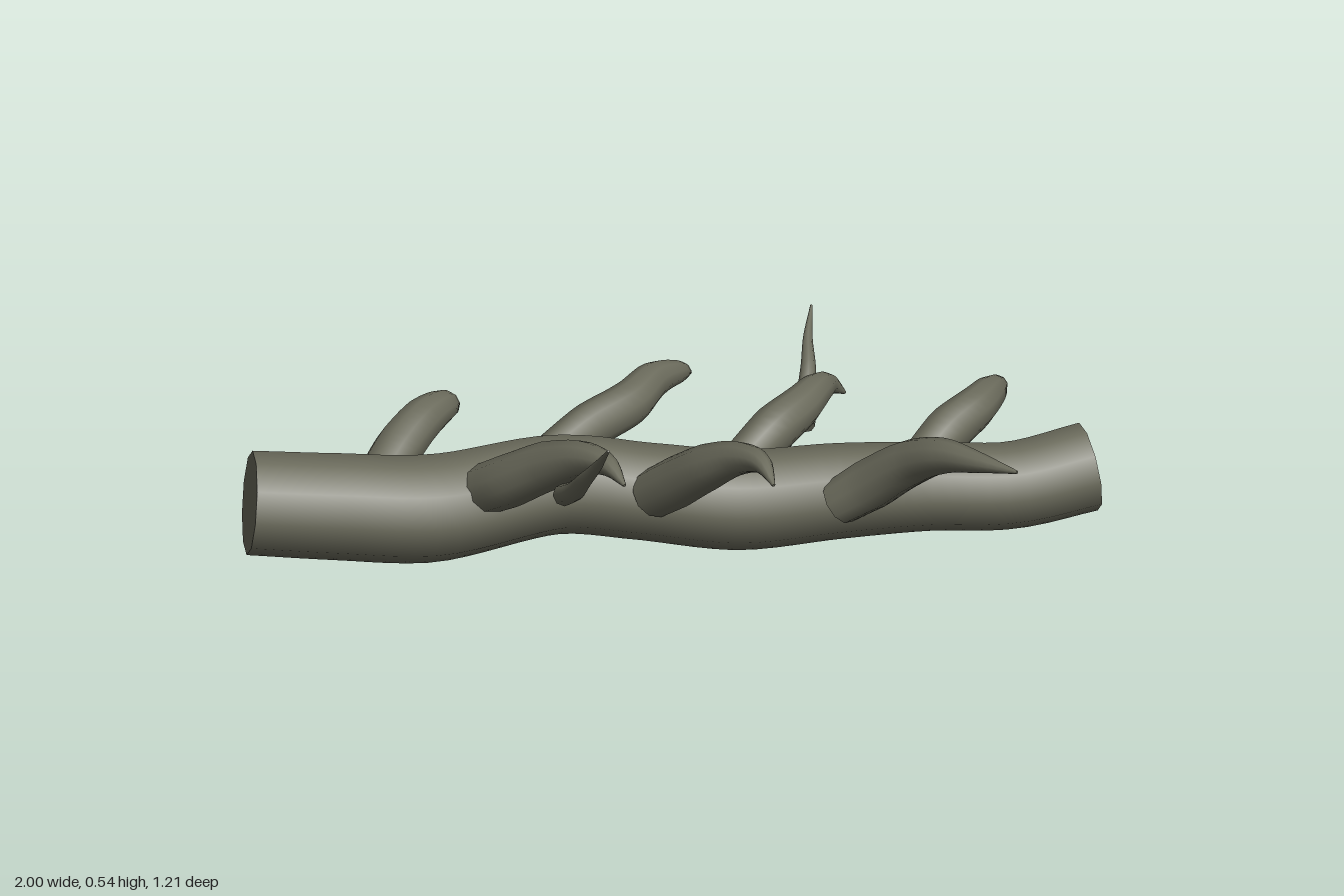
import * as THREE from 'three';
import { mergeGeometries } from 'three/addons/utils/BufferGeometryUtils.js';

// Flat disc closing one end of a limb, built from a ring of points
function capGeometry(ring, flip) {
  const centre = ring.reduce((s, p) => s.add(p), new THREE.Vector3()).divideScalar(ring.length);
  const points = [];
  ring.forEach((p, j) => {
    const next = ring[(j + 1) % ring.length];
    points.push(centre, ...(flip ? [next, p] : [p, next]));
  });
  const geo = new THREE.BufferGeometry().setFromPoints(points);
  geo.setAttribute('uv', new THREE.Float32BufferAttribute(new Float32Array(points.length * 2), 2));
  geo.computeVertexNormals();
  return geo;
}

// Tapered, capped tube through points given as [x, y, z, radius]
function limbGeometry(points, segments, sides) {
  const curve = new THREE.CatmullRomCurve3(points.map(p => new THREE.Vector3(p[0], p[1], p[2])));
  const tube = new THREE.TubeGeometry(curve, segments, 1, sides, false);
  const pos = tube.attributes.position;
  const v = new THREE.Vector3();
  const rings = [];
  for (let i = 0; i <= segments; i++) {
    const t = curve.getUtoTmapping(i / segments) * (points.length - 1);
    const k = Math.min(Math.floor(t), points.length - 2);
    const radius = THREE.MathUtils.lerp(points[k][3], points[k + 1][3], t - k);
    const centre = curve.getPointAt(i / segments);
    const ring = [];
    for (let j = 0; j <= sides; j++) {
      const n = i * (sides + 1) + j;
      v.fromBufferAttribute(pos, n).sub(centre).multiplyScalar(radius).add(centre);
      pos.setXYZ(n, v.x, v.y, v.z);
      if (j < sides) ring.push(v.clone());
    }
    rings.push(ring);
  }
  return mergeGeometries([
    tube.toNonIndexed(),
    capGeometry(rings[0], false),
    capGeometry(rings[segments], true),
  ]);
}

export function createModel() {
  const group = new THREE.Group();
  const bark = new THREE.MeshStandardMaterial({ color: 0x6b6b5c });
  bark.name = 'bark';

  function add(name, points, segments, sides) {
    const mesh = new THREE.Mesh(limbGeometry(points, segments, sides), bark);
    mesh.name = name;
    group.add(mesh);
  }

  // Wavy main trunk
  add('trunk', [
    [-0.985, 0.21, 0.04, 0.122], [-0.78, 0.19, 0.045, 0.125], [-0.56, 0.17, 0.04, 0.127],
    [-0.25, 0.178, -0.035, 0.116], [-0.05, 0.148, -0.035, 0.114], [0.17, 0.122, -0.015, 0.118],
    [0.4, 0.137, 0, 0.112], [0.6, 0.15, 0.03, 0.104], [0.8, 0.147, 0.044, 0.102],
    [0.985, 0.17, 0.015, 0.105],
  ], 48, 10);

  // Branches rising to the front
  add('frontBranchRight', [
    [-0.44, 0.23, 0.08, 0.06], [-0.39, 0.28, 0.15, 0.063], [-0.31, 0.35, 0.23, 0.058],
    [-0.24, 0.4, 0.31, 0.042], [-0.19, 0.41, 0.38, 0.026], [-0.16, 0.385, 0.44, 0.004],
  ], 24, 10);
  add('frontBranchMiddle', [
    [-0.04, 0.18, 0.05, 0.058], [0.01, 0.24, 0.12, 0.061], [0.07, 0.31, 0.2, 0.055],
    [0.13, 0.36, 0.27, 0.04], [0.175, 0.375, 0.34, 0.025], [0.195, 0.345, 0.4, 0.004],
  ], 24, 10);
  add('frontBranchLeft', [
    [0.39, 0.15, 0.09, 0.055], [0.46, 0.21, 0.13, 0.062], [0.54, 0.29, 0.2, 0.056],
    [0.61, 0.345, 0.29, 0.042], [0.68, 0.36, 0.37, 0.025], [0.76, 0.362, 0.44, 0.004],
  ], 24, 10);

  // Branches arching to the back, drooping at the tips
  const backBranches = {
    backBranchRight: [
      [-0.66, 0.22, -0.06, 0.055], [-0.61, 0.26, -0.12, 0.058], [-0.55, 0.29, -0.19, 0.052],
      [-0.495, 0.29, -0.26, 0.04], [-0.465, 0.26, -0.33, 0.024], [-0.44, 0.21, -0.4, 0.004],
    ],
    backBranchMiddleRight: [
      [-0.25, 0.22, -0.12, 0.05], [-0.16, 0.26, -0.17, 0.055], [-0.06, 0.285, -0.23, 0.053],
      [0.01, 0.3, -0.32, 0.043], [0.08, 0.28, -0.4, 0.026], [0.12, 0.235, -0.49, 0.004],
    ],
    backBranchMiddleLeft: [
      [0.2, 0.19, -0.1, 0.053], [0.27, 0.235, -0.15, 0.057], [0.34, 0.255, -0.22, 0.05],
      [0.39, 0.26, -0.3, 0.04], [0.43, 0.235, -0.38, 0.025], [0.475, 0.185, -0.44, 0.004],
    ],
    backBranchLeft: [
      [0.61, 0.2, -0.03, 0.053], [0.67, 0.24, -0.08, 0.057], [0.74, 0.265, -0.14, 0.05],
      [0.785, 0.265, -0.22, 0.04], [0.815, 0.245, -0.3, 0.024], [0.84, 0.21, -0.385, 0.004],
    ],
  };
  for (const [name, points] of Object.entries(backBranches)) add(name, points, 24, 10);

  // Thin side twigs
  add('frontTwig', [
    [-0.285, 0.31, 0.31, 0.027], [-0.27, 0.35, 0.38, 0.024], [-0.255, 0.41, 0.45, 0.018],
    [-0.235, 0.475, 0.52, 0.012], [-0.22, 0.55, 0.602, 0.003],
  ], 18, 8);
  add('backTwig', [
    [0.36, 0.172, -0.3, 0.027], [0.375, 0.205, -0.37, 0.024], [0.39, 0.255, -0.44, 0.018],
    [0.4, 0.295, -0.52, 0.011], [0.42, 0.335, -0.605, 0.003],
  ], 18, 8);

  return group;
}
